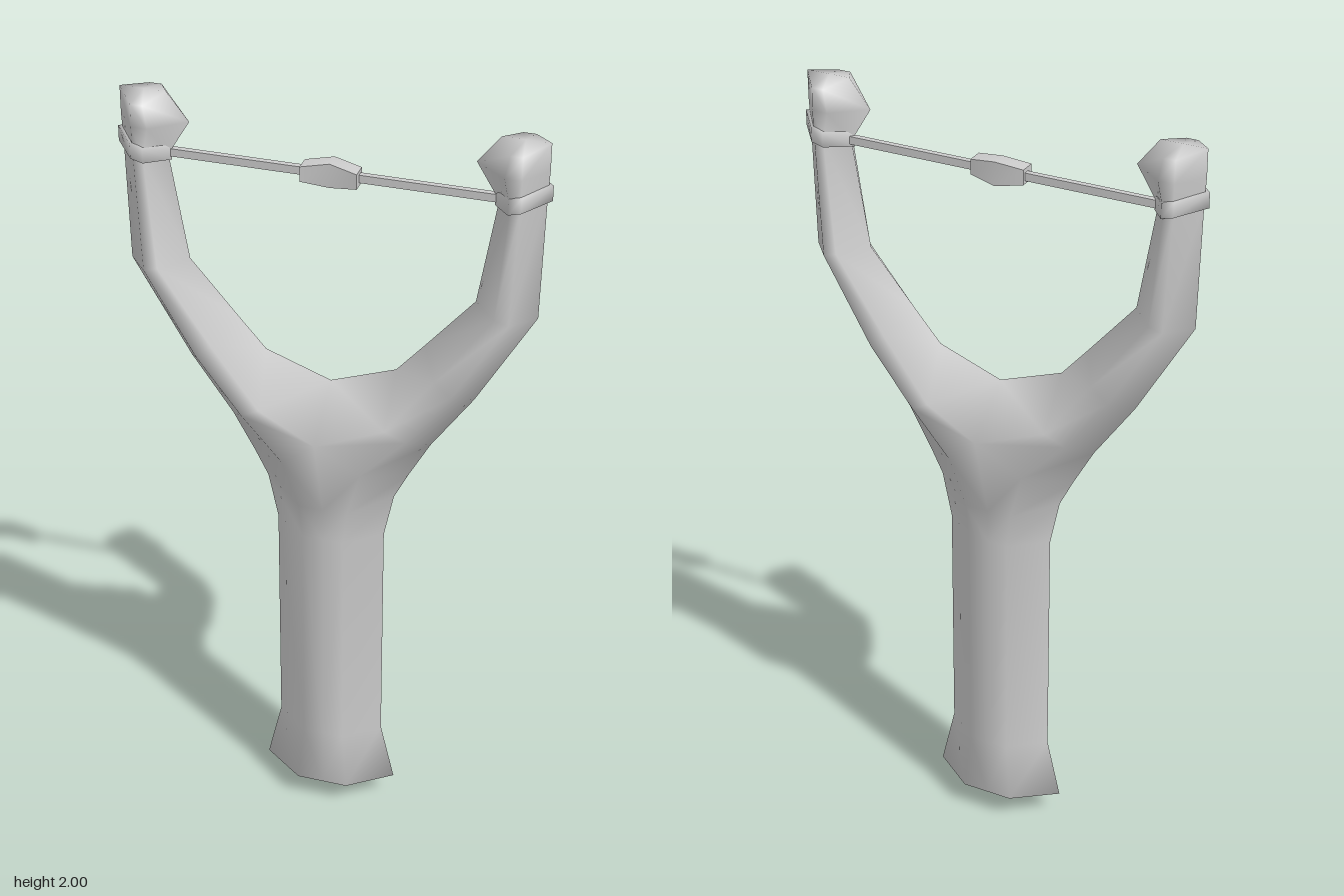
import * as THREE from 'three';
import { mergeVertices } from 'three/addons/utils/BufferGeometryUtils.js';

const material = new THREE.MeshStandardMaterial({ color: 0xcccccc });

// Six-sided section: outer ridge, front pair, inner ridge, back pair.
// Each corner is [x, y]; zo and zi are the depths of the outer and inner front corners.
function section([outer, frontOuter, frontInner, inner, zo, zi = zo]) {
  return [
    [...outer, 0], [...frontOuter, zo], [...frontInner, zi],
    [...inner, 0], [...frontInner, -zi], [...frontOuter, -zo],
  ];
}

// Lofts upward through the sections on each given side (1 or -1).
// Below row openRows the inner columns lie on the middle plane and are left out.
function loft(rows, sides, { openRows = 0, bottom, top } = {}) {
  const rings = rows.map(section);
  const positions = [];
  for (const side of sides) {
    const tri = (a, b, c) => {
      for (const p of side > 0 ? [a, b, c] : [a, c, b]) positions.push(p[0] * side, p[1], p[2]);
    };
    const middle = (c) => c === 2 || c === 3;
    for (let c = 0; c < 6; c++) {
      const n = (c + 1) % 6;
      for (let r = 0; r < rings.length - 1; r++) {
        if (r < openRows && middle(c)) continue;
        const [lo, hi] = [rings[r], rings[r + 1]];
        // The diagonal is mirrored between front and back
        if (c < 3) {
          tri(lo[c], hi[c], lo[n]);
          tri(lo[n], hi[c], hi[n]);
        } else {
          tri(lo[c], hi[c], hi[n]);
          tri(lo[c], hi[n], lo[n]);
        }
      }
      if (bottom && !middle(c)) tri(bottom, rings[0][c], rings[0][n]);
      const last = rings[rings.length - 1];
      if (top) tri(top, last[n], last[c]);
    }
  }
  let geometry = new THREE.BufferGeometry();
  geometry.setAttribute('position', new THREE.Float32BufferAttribute(positions, 3));
  geometry = mergeVertices(geometry, 1e-4);
  geometry.computeVertexNormals();
  return geometry;
}

function add(group, name, geometry) {
  const mesh = new THREE.Mesh(geometry, material);
  mesh.name = name;
  group.add(mesh);
  return mesh;
}

export function createModel() {
  const group = new THREE.Group();
  group.name = 'slingshot';

  // Handle sections are half sections that meet on the middle plane
  const grip = (x, y, z, frontY = y) => [[x, y], [x * 0.38, frontY], [0, frontY], [0, frontY], z];
  const frame = [
    grip(0.177, 0.07, 0.08),
    grip(0.14, 0.23, 0.07),
    grip(0.14, 0.86, 0.07),
    grip(0.165, 0.98, 0.07, 0.95),
    // Crotch, where the two halves part
    [[0.2, 1.05], [0.1, 1.08], [0, 1.18], [0, 1.29], 0.083, 0.137],
    // Prong
    [[0.255, 1.15], [0.21, 1.19], [0.16, 1.22], [0.165, 1.35], 0.07, 0.083],
    [[0.36, 1.3], [0.32, 1.34], [0.28, 1.38], [0.235, 1.43], 0.075, 0.08],
    [[0.505, 1.55], [0.45, 1.555], [0.415, 1.565], [0.355, 1.57], 0.067],
    [[0.512, 1.87], [0.465, 1.865], [0.44, 1.855], [0.4, 1.84], 0.063],
    // Knob at the tip
    [[0.515, 1.93], [0.465, 1.93], [0.425, 1.93], [0.345, 1.93], 0.066],
    [[0.515, 2], [0.465, 1.986], [0.435, 1.986], [0.4, 2], 0.064],
  ];
  add(group, 'forkedFrame', loft(frame, [1, -1], {
    openRows: 4, bottom: [0, 0, 0], top: [0.455, 2, 0],
  }));

  // Tilted wrap around each prong
  const wrap = (grow, dy) => [
    [0.515 + grow, 1.877 + dy], [0.465 + grow * 0.3, 1.87 + dy],
    [0.44 - grow * 0.3, 1.862 + dy], [0.4 - grow, 1.846 + dy], 0.062 + grow,
  ];
  const wrapRows = [wrap(-0.005, -0.019), wrap(0.009, -0.019), wrap(0.009, 0.019), wrap(-0.005, 0.019)];

  for (const [side, label] of [[1, 'left'], [-1, 'right']]) {
    add(group, `${label}Wrap`, loft(wrapRows, [side]));
    // Strap from the wrap to the pouch
    const strap = add(group, `${label}Strap`, new THREE.BoxGeometry(0.37, 0.02, 0.015));
    strap.position.set(side * 0.235, 1.846, -0.004);
  }

  // Pouch, swollen in the middle and bowed backward
  const pouch = new THREE.BoxGeometry(0.138, 0.038, 0.042, 2, 1, 1);
  const p = pouch.attributes.position;
  for (let i = 0; i < p.count; i++) {
    if (Math.abs(p.getX(i)) < 0.01) {
      p.setY(i, p.getY(i) * 1.6);
      p.setZ(i, p.getZ(i) - 0.012);
    }
  }
  pouch.computeVertexNormals();
  add(group, 'pouch', pouch).position.set(0, 1.847, 0.002);

  return group;
}
